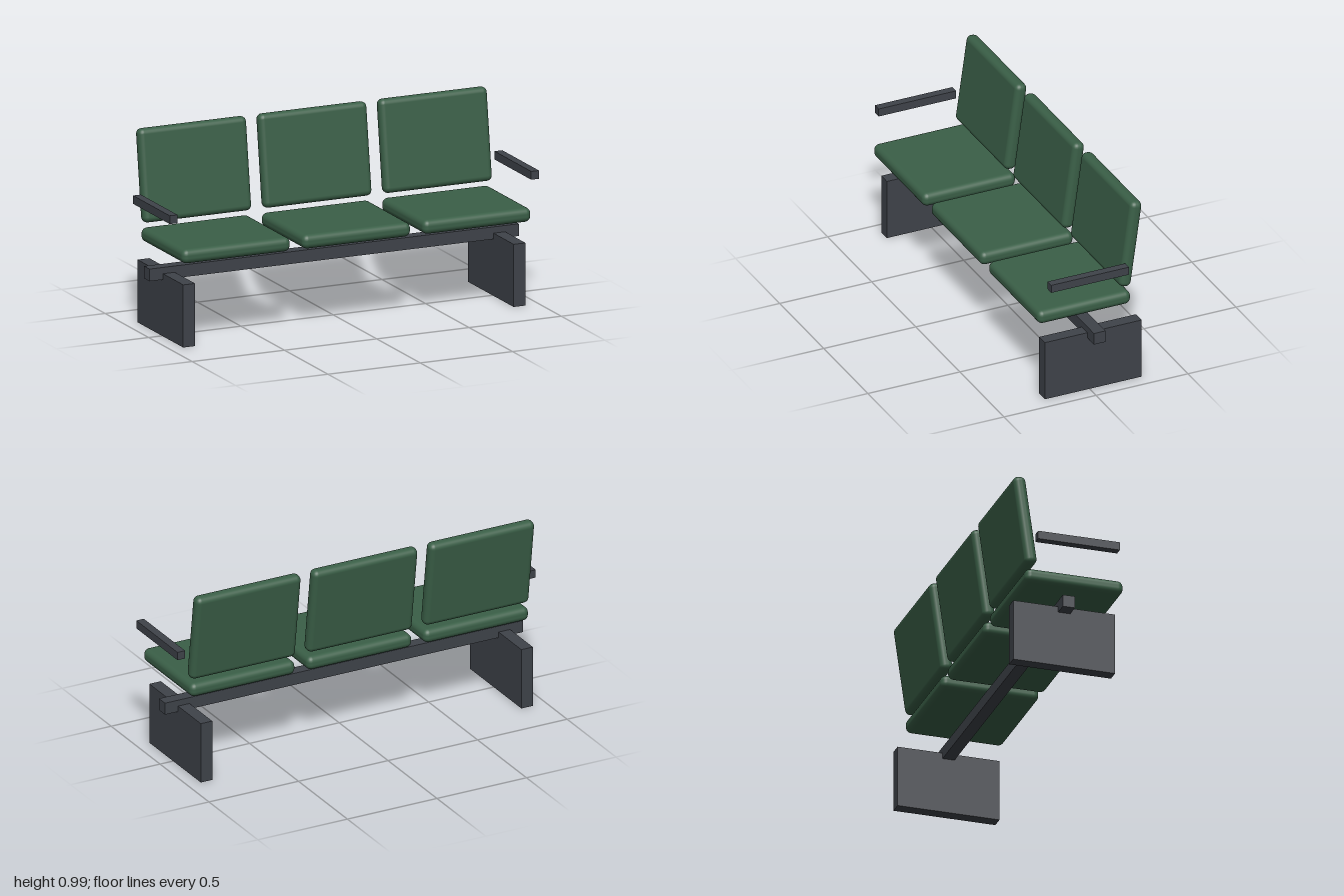
import * as THREE from 'three';
import { RoundedBoxGeometry } from 'three/addons/geometries/RoundedBoxGeometry.js';

export function createModel() {
  const model = new THREE.Group();
  model.name = 'threeSeatBench';

  const green = new THREE.MeshStandardMaterial({ color: 0x3a5f47 });
  green.name = 'green upholstery';
  const grey = new THREE.MeshStandardMaterial({ color: 0x3f434a });
  grey.name = 'dark grey metal';

  function add(name, geometry, material, x, y, z) {
    const mesh = new THREE.Mesh(geometry, material);
    mesh.name = name;
    mesh.position.set(x, y, z);
    model.add(mesh);
    return mesh;
  }

  // Cushions: three seats with reclined backs
  const seat = new RoundedBoxGeometry(0.586, 0.072, 0.505, 3, 0.03);
  const back = new RoundedBoxGeometry(0.586, 0.467, 0.064, 3, 0.028);
  ['right', 'middle', 'left'].forEach((side, i) => {
    const x = (i - 1) * 0.652;
    add(side + 'Seat', seat, green, x, 0.466, 0.031);
    add(side + 'Backrest', back, green, x, 0.76, -0.222).rotation.x = -0.14;
  });

  // Beam running under the seats
  add('beam', new THREE.BoxGeometry(2, 0.062, 0.062), grey, 0, 0.319, -0.02);

  // Slab legs and armrests, mirrored
  const leg = new THREE.BoxGeometry(0.064, 0.318, 0.526);
  const armrest = new THREE.BoxGeometry(0.042, 0.042, 0.422);
  for (const [side, s] of [['left', 1], ['right', -1]]) {
    add(side + 'Leg', leg, grey, s * 0.895, 0.159, -0.02);
    add(side + 'Armrest', armrest, grey, s * 0.979, 0.656, 0.032);
  }

  return model;
}
